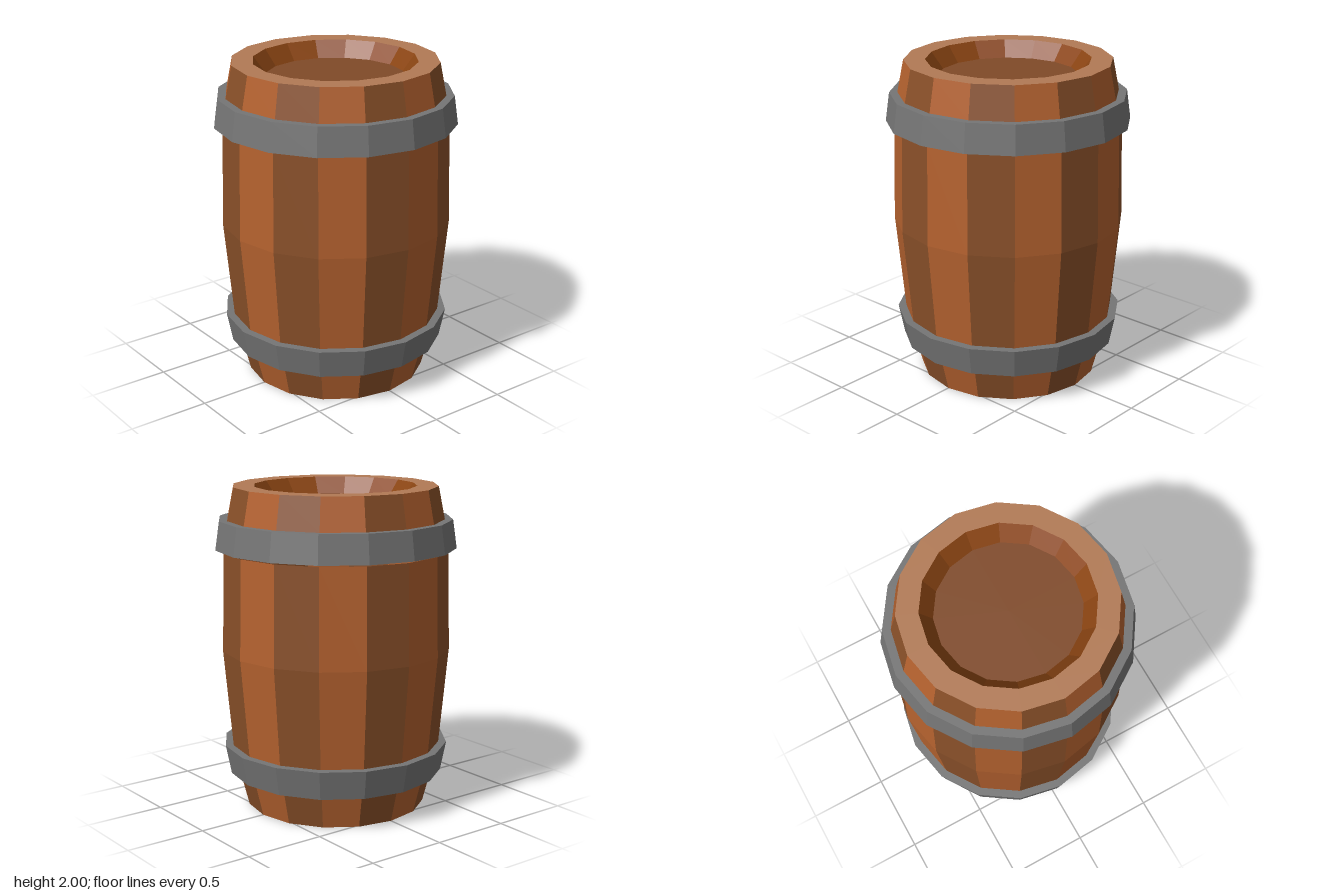
import * as THREE from 'three';
import { mergeGeometries } from 'three/addons/utils/BufferGeometryUtils.js';

const SIDES = 16;
const STEP = (Math.PI * 2) / SIDES;

const material = (color) =>
  new THREE.MeshStandardMaterial({ color, flatShading: true, side: THREE.DoubleSide });

const toPoints = (profile) => profile.map(([r, y]) => new THREE.Vector2(r, y));

// Full ring of a [radius, height] profile
function ring(name, profile, mat) {
  const mesh = new THREE.Mesh(new THREE.LatheGeometry(toPoints(profile), SIDES), mat);
  mesh.name = name;
  return mesh;
}

// Every second stave of a profile, starting at stave `first`
function staves(name, profiles, first, mat) {
  const parts = [];
  for (const profile of profiles) {
    for (let i = first; i < SIDES; i += 2) {
      parts.push(new THREE.LatheGeometry(toPoints(profile), 1, i * STEP, STEP));
    }
  }
  const mesh = new THREE.Mesh(mergeGeometries(parts), mat);
  mesh.name = name;
  return mesh;
}

export function createModel() {
  const model = new THREE.Group();
  model.name = 'barrel';

  const lightWood = material(0xb5622f);
  const darkWood = material(0x8a5029);
  const rimWood = material(0xb27a55);
  const recessWood = material(0x8b4513);
  const lidWood = material(0x804a28);
  const iron = material(0x757575);

  // Thin open shell, interrupted behind the hoops
  const shell = [
    [[0.56, 0], [0.615, 0.215]],
    [[0.655, 0.395], [0.71, 1.0], [0.695, 1.61]],
    [[0.67, 1.8], [0.63, 2.0]],
  ];
  model.add(staves('lightStaves', shell, 0, lightWood));
  model.add(staves('darkStaves', shell, 1, darkWood));

  // Rim and sunken lid
  model.add(ring('topRim', [[0.63, 2], [0.5, 2]], rimWood));
  model.add(ring('recessWall', [[0.5, 2], [0.425, 1.9]], recessWood));
  model.add(ring('lid', [[0.425, 1.9], [0, 1.9]], lidWood));

  // Hoops: iron outside, top and inside, with a wooden underside
  const hoops = [
    { name: 'lowerHoop', y0: 0.215, y1: 0.395, out0: 0.67, out1: 0.705, in0: 0.615, in1: 0.655 },
    { name: 'upperHoop', y0: 1.625, y1: 1.8, out0: 0.745, out1: 0.72, in0: 0.695, in1: 0.67 },
  ];
  for (const h of hoops) {
    const group = new THREE.Group();
    group.name = h.name;
    group.add(ring('hoopBand', [[h.out0, h.y0], [h.out1, h.y1], [h.in1, h.y1], [h.in0, h.y0]], iron));
    group.add(ring('hoopUnderside', [[h.in0, h.y0], [h.out0, h.y0]], recessWood));
    model.add(group);
  }

  return model;
}
